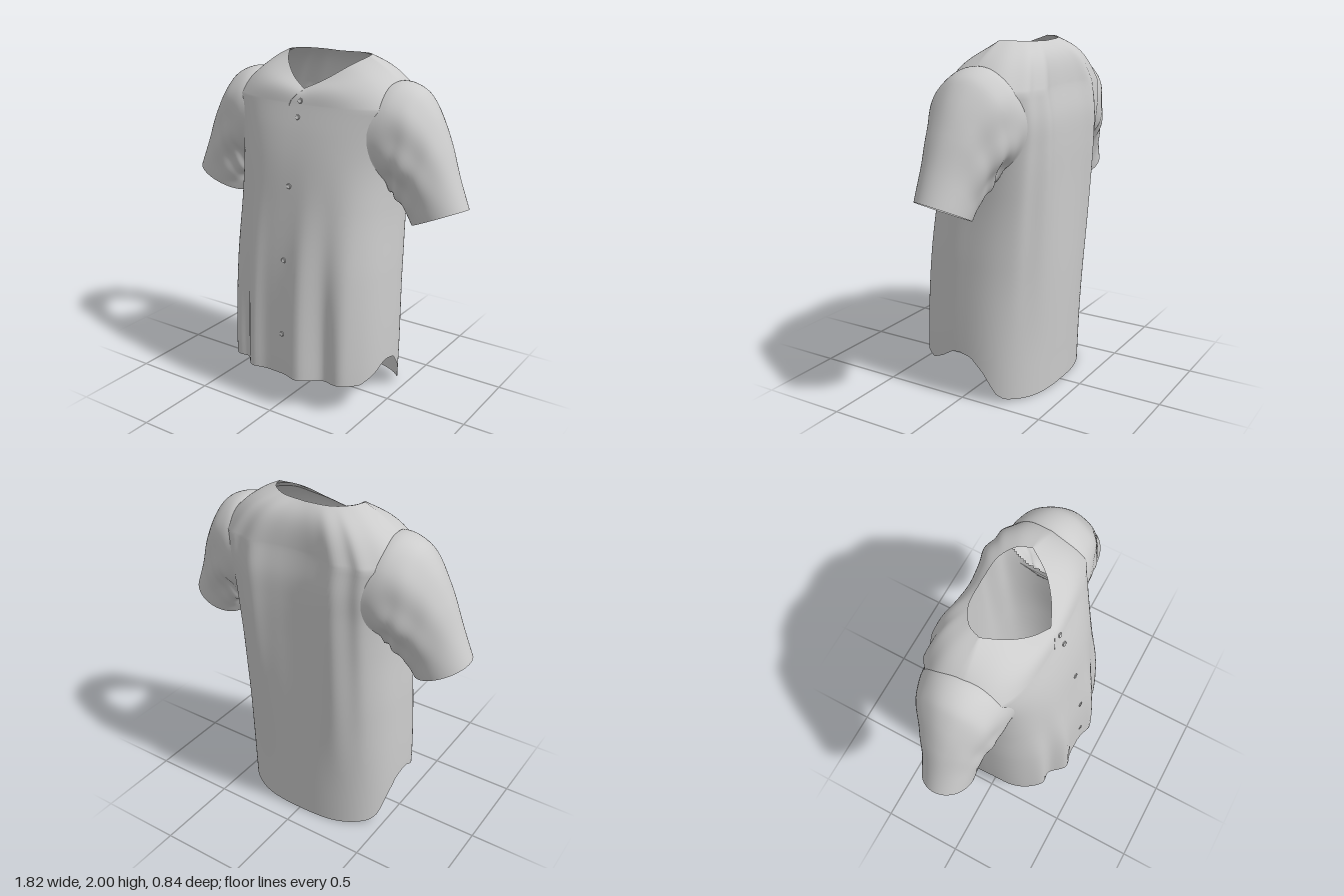
import * as THREE from 'three';

const { lerp, smoothstep } = THREE.MathUtils;
const cloth = new THREE.MeshStandardMaterial({ color: 0xcccccc, side: THREE.DoubleSide });
const V = (x, y, z) => new THREE.Vector3(x, y, z);
const bump = (d, w) => Math.exp(-(d * d) / (w * w));

// Turns rows of [key, ...values] into a lookup function
function table(rows, Type = THREE.CubicInterpolant) {
  const n = rows[0].length - 1;
  const curve = new Type(rows.map(r => r[0]), rows.flatMap(r => r.slice(1)), n, new Float32Array(n));
  return t => Array.from(curve.evaluate(t));
}

// Skins closed rings: point(u, v) with u around and v along; cut(p) leaves openings
function loft(name, around, along, point, cut = () => false) {
  const pts = [], idx = [];
  for (let i = 0; i <= along; i++)
    for (let j = 0; j < around; j++) pts.push(point(j / around, i / along));
  for (let i = 0; i < along; i++)
    for (let j = 0; j < around; j++) {
      const a = i * around + j, c = i * around + (j + 1) % around;
      if (cut(pts[a].clone().lerp(pts[c + around], 0.5))) continue;
      idx.push(a, a + around, c, c, a + around, c + around);
    }
  const geo = new THREE.BufferGeometry().setFromPoints(pts);
  geo.setIndex(idx);
  geo.computeVertexNormals();
  const mesh = new THREE.Mesh(geo, cloth);
  mesh.name = name;
  return mesh;
}

// Body by height: half width, front z, back z, side seam z
const TOP = 1.75;
const body = table([
  [0, 0.495, 0.385, -0.37, 0.01],
  [0.3, 0.5, 0.385, -0.378, 0.01],
  [0.8, 0.488, 0.365, -0.4, -0.01],
  [1.2, 0.472, 0.315, -0.412, -0.04],
  [1.45, 0.485, 0.275, -0.415, -0.07],
  [1.6, 0.52, 0.238, -0.408, -0.09],
  [TOP, 0.57, 0.19, -0.38, -0.1],
]);

// Shirt-tail hem height by z
const hem = table([
  [-0.4, 0], [-0.36, 0], [-0.24, 0.02], [-0.2, 0.05], [-0.13, 0.18], [-0.06, 0.26],
  [0.02, 0.28], [0.07, 0.27], [0.13, 0.23], [0.23, 0.18], [0.45, 0.2],
], THREE.LinearInterpolant);

// Neckline from the shoulder to the centre front and centre back
const neckFront = new THREE.CatmullRomCurve3(
  [V(0.27, 2, -0.11), V(0.2, 1.95, 0), V(0.1, 1.88, 0.085), V(0, 1.83, 0.135)]);
const neckBack = new THREE.CatmullRomCurve3(
  [V(0.27, 2, -0.11), V(0.24, 2, -0.18), V(0.15, 1.995, -0.238), V(0, 1.99, -0.25)]);

// Hanging folds, deeper towards the front hem and the shoulder blades
function fold(x, y, front) {
  const ax = Math.abs(x);
  if (front) {
    const k = 1 - smoothstep(y, 0.2, 1.5);
    return k * (0.035 * (bump(x + 0.2, 0.06) + bump(x - 0.12, 0.06)) + 0.02 * bump(ax - 0.38, 0.05)
      - 0.035 * bump(x + 0.29, 0.05) - 0.045 * bump(x - 0.25, 0.06));
  }
  const k = smoothstep(y, 0.2, 1.4);
  return k * (0.03 * bump(x, 0.16) - 0.03 * bump(ax - 0.27, 0.07) - 0.03 * bump(ax - 0.41, 0.05));
}

function bodyPoint(a, y) {
  const [w, zf, zb, zc] = body(y);
  const c = Math.cos(a), s = Math.sin(a), front = s >= 0;
  const x = w * Math.sign(c) * Math.abs(c) ** 0.75;
  // The upper back is squarer than the front
  const k = Math.abs(s) ** (front ? 0.82 : lerp(0.75, 0.55, smoothstep(y, 0.6, 1.4)));
  return V(x, y, zc + k * ((front ? zf : zb) - zc + fold(x, y, front)));
}

function torsoPoint(u, v) {
  const a = u * Math.PI * 2, split = 0.75;
  if (v <= split) {
    const low = hem(bodyPoint(a, 0.2).z)[0];
    return bodyPoint(a, lerp(low, TOP, v / split));
  }
  // Yoke: rounds over from the chest to the neckline
  const t = (v - split) / (1 - split), c = Math.cos(a), s = Math.sin(a);
  const f = Math.asin(Math.min(1, Math.abs(s))) / (Math.PI / 2);
  const end = (s >= 0 ? neckFront : neckBack).getPoint(f);
  if (c < 0) end.x *= -1;
  const start = bodyPoint(a, TOP);
  const swell = (0.14 - 0.06 * c * c) * start.distanceTo(end) * Math.sin(Math.PI * t);
  return start.lerp(end, t).add(V(c * 0.5, 0.85, s * 0.5).multiplyScalar(swell));
}

// Armhole: an oval seen from the side, with the body cut away inside it
const ARM = { y: 1.59, z: -0.11, ry: 0.29, rz: 0.26 };
const inArmhole = p => Math.abs(p.x) > 0.25 &&
  Math.hypot((p.y - ARM.y) / ARM.ry, (p.z - ARM.z) / ARM.rz) < 0.86;

// Sleeve along its length: top x, y, underside x, y, centre z, half depth
const sleeve = table([
  [0, 0.46, 1.89, 0.44, 1.32, -0.11, 0.255],
  [0.12, 0.54, 1.882, 0.455, 1.3, -0.11, 0.25],
  [0.22, 0.61, 1.842, 0.468, 1.285, -0.108, 0.24],
  [0.36, 0.69, 1.742, 0.488, 1.262, -0.102, 0.217],
  [0.58, 0.775, 1.575, 0.522, 1.215, -0.092, 0.183],
  [0.8, 0.848, 1.39, 0.565, 1.155, -0.08, 0.157],
  [1, 0.91, 1.24, 0.6, 1.1, -0.075, 0.145],
]);

function sleevePoint(side, rim, u, v) {
  const [tx, ty, bx, by, zc, h] = sleeve(v);
  const b = -side * u * Math.PI * 2, c = Math.cos(b), s = Math.sin(b);
  // Gathered wrinkles near the armhole, fading at the cuff and shoulder top
  const gather = smoothstep(v, 0.05, 0.3) * (1 - smoothstep(v, 0.5, 0.95)) * (0.5 - 0.5 * c) ** 0.7;
  const r = 1 + gather * (0.06 * Math.sin(7 * b * Math.sign(s) + 6 * v) + 0.03 * Math.sin(20 * v + 3 * c));
  const p = V(
    side * ((tx + bx) / 2 + (tx - bx) / 2 * c * r),
    (ty + by) / 2 + (ty - by) / 2 * c * r + 0.018 * s * v,
    zc + h * s * r);
  return p.lerp(rim(b), 1 - smoothstep(v, -0.1, 0.25) / smoothstep(1, -0.1, 0.25) + (v === 0 ? 1 : 0) * smoothstep(0, -0.1, 0.25));
}

export function createModel() {
  const group = new THREE.Group();
  group.name = 'shirt';

  const torso = loft('torso', 160, 88, torsoPoint, inArmhole);
  group.add(torso);

  // Finds the spot on the body met by a ray
  torso.updateMatrixWorld();
  const ray = new THREE.Raycaster();
  const hitBody = (from, dir) => {
    ray.set(from, dir);
    return ray.intersectObject(torso)[0];
  };
  const onFront = (x, y) => hitBody(V(x, y, 2), V(0, 0, -1));

  // Sleeves, sewn to the armhole outline on the body
  for (const side of [1, -1]) {
    const around = 80;
    const rim = Array.from({ length: around }, (_, j) => {
      const b = j / around * Math.PI * 2;
      const from = V(side * 2, ARM.y + ARM.ry * Math.cos(b), ARM.z + ARM.rz * Math.sin(b));
      return hitBody(from, V(-side, 0, 0)).point;
    });
    const rimAt = b => rim[(Math.round(b / (Math.PI * 2) * around) + around) % around];
    group.add(loft(side > 0 ? 'leftSleeve' : 'rightSleeve', around, 56,
      (u, v) => sleevePoint(side, rimAt, u, v)));
  }

  // Dished buttons down the placket
  const profile = [[0, 0.001], [0.008, 0.001], [0.01, 0.005], [0.014, 0.004], [0.015, 0], [0.013, -0.004]];
  const buttonGeo = new THREE.LatheGeometry(profile.map(p => new THREE.Vector2(...p)), 20);
  for (const y of [1.77, 1.685, 1.315, 0.895, 0.45]) {
    const hit = onFront(0.01, y);
    const normal = hit.face.normal.clone();
    if (normal.z < 0) normal.negate();
    const button = new THREE.Mesh(buttonGeo, cloth);
    button.name = 'button';
    button.position.copy(hit.point).addScaledVector(normal, 0.001);
    button.quaternion.setFromUnitVectors(V(0, 1, 0), normal);
    group.add(button);
  }

  // Curved overlap edge below the neck
  const edge = [[0, 1.82], [-0.03, 1.795], [-0.05, 1.77], [-0.06, 1.74]].map(([x, y]) => onFront(x, y).point);
  const seam = new THREE.Mesh(new THREE.TubeGeometry(new THREE.CatmullRomCurve3(edge), 16, 0.002, 6), cloth);
  seam.name = 'placketEdge';
  group.add(seam);
  return group;
}
